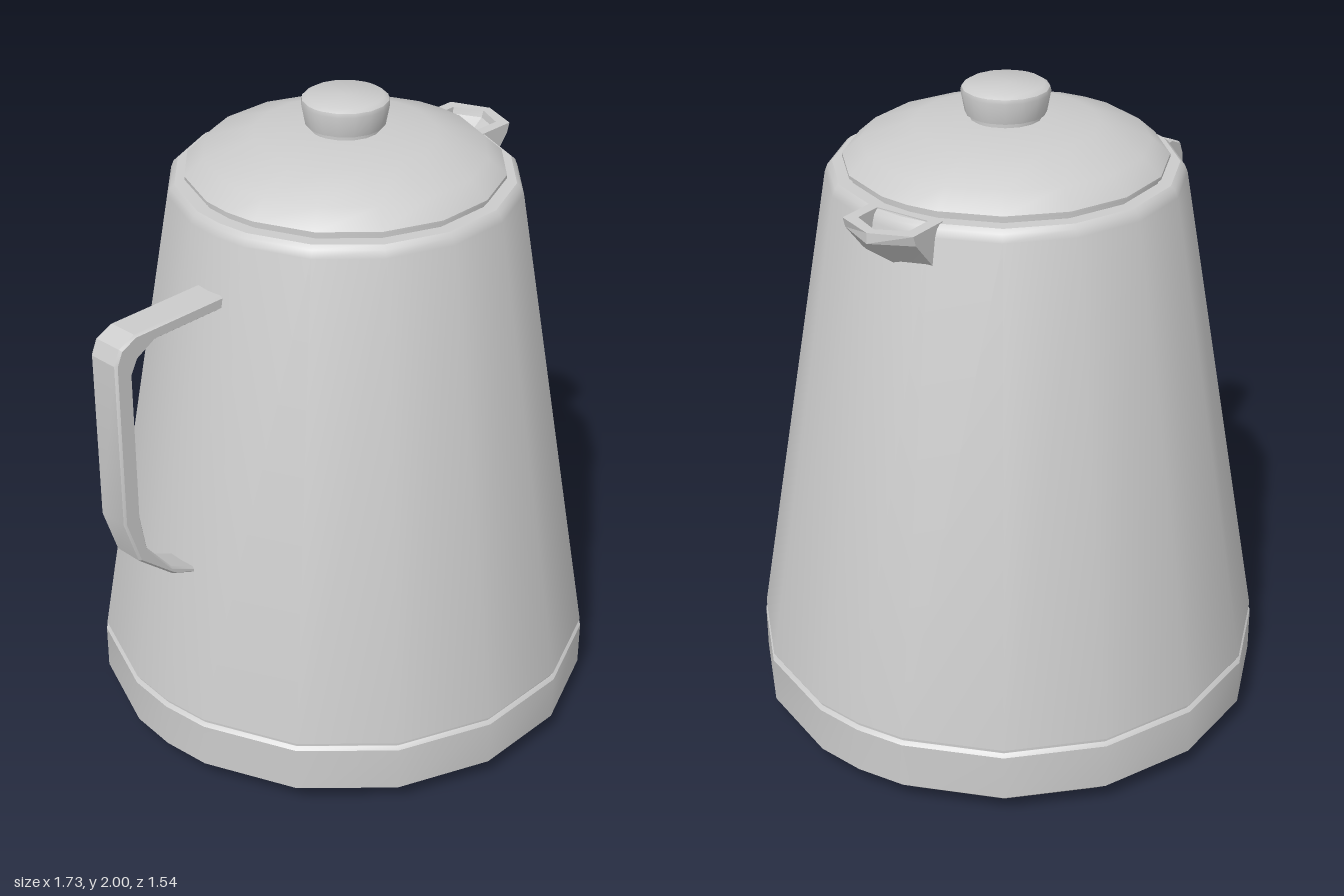
import * as THREE from 'three';
import { toCreasedNormals } from 'three/addons/utils/BufferGeometryUtils.js';

const AXIS_X = 0.08; // the pot sits off centre to balance the handle

// Skin a closed loop of points through successive rings.
function loft(rings, crease) {
  const pos = [];
  const tri = (a, b, c) => {
    const area = new THREE.Triangle(a, b, c).getArea();
    if (area > 1e-8) pos.push(...a.toArray(), ...b.toArray(), ...c.toArray());
  };
  for (let i = 0; i < rings.length - 1; i++) {
    const n = rings[i].length;
    for (let j = 0; j < n; j++) {
      const k = (j + 1) % n;
      tri(rings[i][j], rings[i][k], rings[i + 1][k]);
      tri(rings[i][j], rings[i + 1][k], rings[i + 1][j]);
    }
  }
  const geo = new THREE.BufferGeometry();
  geo.setAttribute('position', new THREE.Float32BufferAttribute(pos, 3));
  return toCreasedNormals(geo, crease);
}

// Sixteen sides turned half a step, with extra corners on the x axis.
const angles = [];
for (let i = 0; i < 16; i++) {
  if (i % 8 === 0) angles.push((i * Math.PI) / 8);
  angles.push(((i + 0.5) * Math.PI) / 8);
}

// Turn a bottom-to-top [radius, y] profile around the pot's axis.
function turned(profile) {
  return loft(profile.map(([r, y]) => angles.map((a) =>
    new THREE.Vector3(AXIS_X + r * Math.cos(a), y, -r * Math.sin(a)))), 0.6);
}

export function createModel() {
  const group = new THREE.Group();
  const material = new THREE.MeshStandardMaterial({ color: 0xcccccc });
  const add = (name, geometry) => {
    const mesh = new THREE.Mesh(geometry, material);
    mesh.name = name;
    group.add(mesh);
  };

  // Base band with sloped foot
  add('base', turned([[0, 0], [0.7, 0], [0.785, 0.07], [0.785, 0.215], [0.775, 0.226], [0, 0.226]]));

  // Tapered body with rounded shoulder
  add('body', turned([[0, 0.22], [0.774, 0.22], [0.774, 0.235], [0.782, 0.24],
    [0.527, 1.73], [0.518, 1.752], [0.505, 1.763], [0, 1.763]]));

  // Domed lid above a narrow groove
  add('lid', turned([[0, 1.76], [0.465, 1.76], [0.465, 1.773], [0.475, 1.776], [0.475, 1.786],
    [0.42, 1.835], [0.27, 1.885], [0.115, 1.9], [0, 1.9]]));

  // Knob on a short neck
  add('knob', turned([[0, 1.89], [0.105, 1.89], [0.105, 1.912], [0.118, 1.915],
    [0.13, 1.978], [0.127, 1.99], [0.112, 2], [0, 2]]));

  // Hollow pouring spout: outside going up, lip, then inside going down
  const spoutRing = (back, side, tip, halfWidth, y, tipY = y) => [
    new THREE.Vector3(back, y, halfWidth),
    new THREE.Vector3(side, y, halfWidth),
    new THREE.Vector3(tip, tipY, 0),
    new THREE.Vector3(side, y, -halfWidth),
    new THREE.Vector3(back, y, -halfWidth),
  ];
  add('spout', loft([
    spoutRing(0.5, 0.59, 0.605, 0.12, 1.637, 1.625),
    spoutRing(0.53, 0.675, 0.735, 0.12, 1.735),
    spoutRing(0.555, 0.685, 0.733, 0.12, 1.766),
    spoutRing(0.575, 0.66, 0.702, 0.086, 1.766),
    spoutRing(0.575, 0.655, 0.695, 0.086, 1.745),
    spoutRing(0.54, 0.575, 0.6, 0.086, 1.68),
  ], 0.3));

  // Flat strap handle with slightly softened edges
  const outline = [
    [-0.44, 1.57], [-0.79, 1.57], [-0.845, 1.545], [-0.865, 1.5], [-0.865, 0.985],
    [-0.817, 0.84], [-0.695, 0.735], [-0.59, 0.688],
    [-0.59, 0.708], [-0.696, 0.76], [-0.786, 0.87], [-0.807, 0.99], [-0.807, 1.455],
    [-0.786, 1.495], [-0.722, 1.53], [-0.44, 1.53],
  ];
  const strap = new THREE.Shape(outline.map(([x, y]) => new THREE.Vector2(x, y)));
  const handle = new THREE.ExtrudeGeometry(strap, {
    depth: 0.092, bevelEnabled: true, bevelSegments: 1,
    bevelThickness: 0.008, bevelSize: 0.006, bevelOffset: -0.006,
  });
  handle.translate(0, 0, -0.046);
  add('handle', toCreasedNormals(handle, 0.4));

  return group;
}
